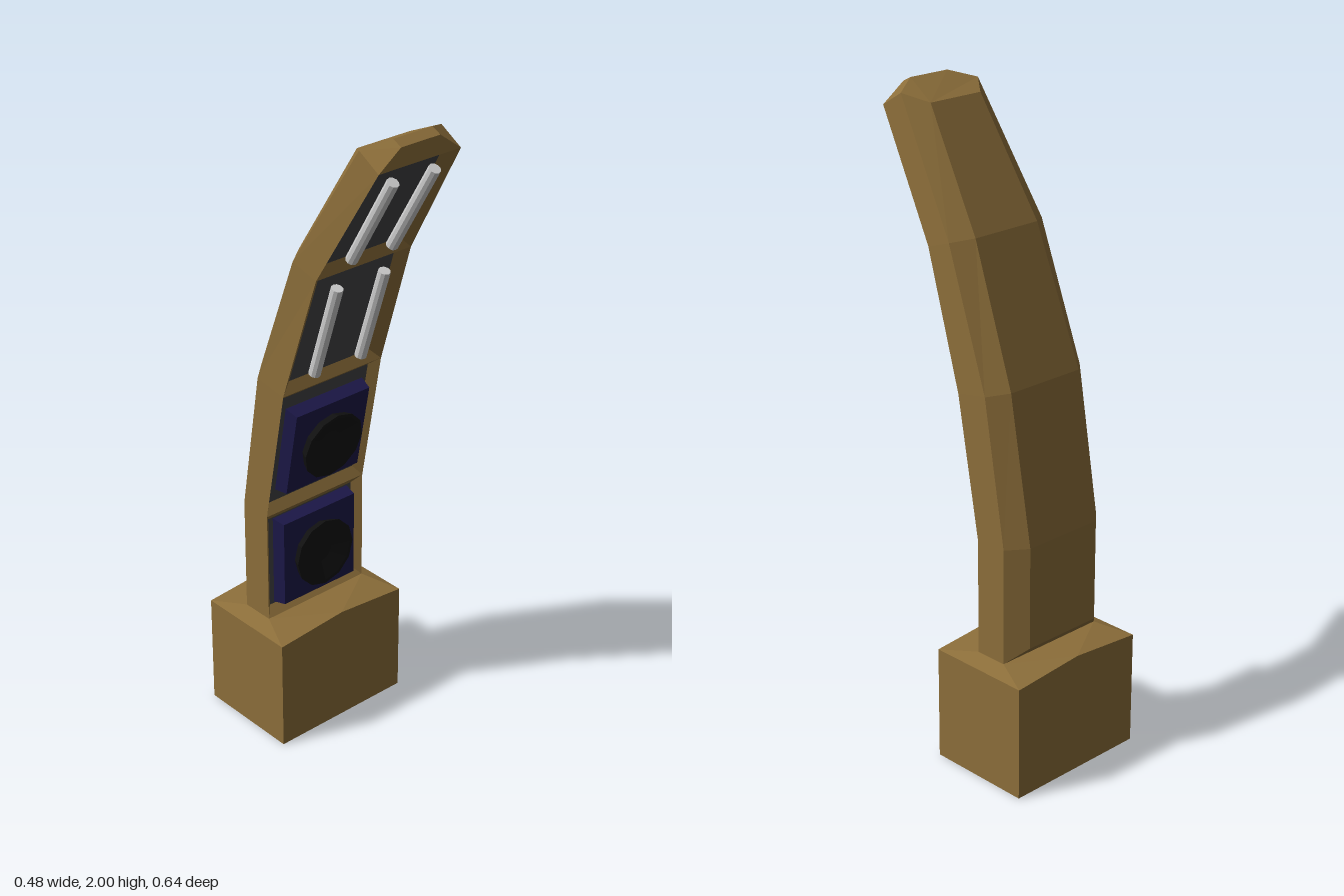
import * as THREE from 'three';

const material = (color) => new THREE.MeshStandardMaterial({ color, flatShading: true });
const wood = material(0x8c6e3a);
const panelGrey = material(0x444446);
const boxBlue = material(0x1c1848);
const coneBlack = material(0x101010);
const rodGrey = material(0xcccccc);

// Flat-shaded mesh from convex polygons (corners counter-clockwise)
function polyMesh(name, mat, polys) {
  const pos = [];
  for (const p of polys) {
    for (let i = 1; i < p.length - 1; i++) pos.push(...p[0], ...p[i], ...p[i + 1]);
  }
  const geo = new THREE.BufferGeometry();
  geo.setAttribute('position', new THREE.Float32BufferAttribute(pos, 3));
  geo.computeVertexNormals();
  const mesh = new THREE.Mesh(geo, mat);
  mesh.name = name;
  return mesh;
}

const flip = ([x, y, z]) => [-x, y, z];
// Each polygon plus its mirror image across x = 0
const bothSides = (polys) => polys.flatMap((p) => [p, p.map(flip).reverse()]);

function makeMesh(name, geo, mat) {
  const mesh = new THREE.Mesh(geo, mat);
  mesh.name = name;
  return mesh;
}

// Column stations, +x corners: front, side rear, back
const stations = [
  { front: [0.19, 0.38, -0.1], side: [0.19, 0.38, -0.205], back: [0.135, 0.43, -0.257] },
  { front: [0.19, 0.74, -0.1], side: [0.19, 0.745, -0.205], back: [0.135, 0.75, -0.257] },
  { front: [0.188, 1.17, -0.02], side: [0.19, 1.19, -0.13], back: [0.135, 1.2, -0.178] },
  { front: [0.176, 1.57, 0.11], side: [0.181, 1.6, 0.02], back: [0.12, 1.61, -0.022] },
  { front: [0.147, 1.93, 0.322], side: [0.147, 1.975, 0.247], back: [0.095, 1.95, 0.182] },
];

// Plinth with a top that falls towards its corners
function createBase() {
  const w = 0.24, f = 0.02, b = -0.32;
  const { front, side } = stations[0];
  const cornerF = [w, 0.36, f], cornerB = [w, 0.36, b];
  const midF = [0, 0.38, f], midB = [0, 0.38, b];
  return polyMesh('base', wood, [
    [[-w, 0, f], [w, 0, f], cornerF, midF, flip(cornerF)],
    [[w, 0, b], [-w, 0, b], flip(cornerB), midB, cornerB],
    [[-w, 0, b], [w, 0, b], [w, 0, f], [-w, 0, f]],
    ...bothSides([
      [[w, 0, f], [w, 0, b], cornerB, cornerF],
      [cornerF, cornerB, side, front],
      [midF, cornerF, front],
      [cornerB, midB, side],
      [midF, front, side, midB],
    ]),
  ]);
}

// Curved column shell with the chamfered tip
function createColumn() {
  const polys = [];
  for (let i = 0; i < 4; i++) {
    const a = stations[i], c = stations[i + 1];
    polys.push(...bothSides([
      [a.front, a.side, c.side, c.front],
      [a.side, a.back, c.back, c.side],
    ]));
    polys.push([a.back, flip(a.back), flip(c.back), c.back]);
  }
  const foot = stations[0], tip = stations[4];
  const topF = [0.07, 1.985, 0.322], topB = [0.07, 2, 0.292];
  polys.push(
    [foot.side, flip(foot.side), flip(foot.back), foot.back],
    [flip(tip.front), tip.front, topF, flip(topF)],
    [flip(topF), topF, topB, flip(topB)],
    [tip.back, flip(tip.back), flip(tip.side), flip(topB), topB, tip.side],
    ...bothSides([[tip.front, tip.side, topB, topF]]),
  );
  return polyMesh('column', wood, polys);
}

// Loudspeaker: tapered square box with a dished round cone
function createSpeaker() {
  const group = new THREE.Group();
  group.name = 'speaker';
  const boxGeo = new THREE.CylinderGeometry(0.14 * Math.SQRT2, 0.148 * Math.SQRT2, 0.045, 4);
  boxGeo.rotateY(Math.PI / 4).rotateX(Math.PI / 2);
  const box = makeMesh('speakerBox', boxGeo, boxBlue);
  box.position.z = -0.005;
  const profile = [[0.098, 0.015], [0.11, 0.045], [0.1, 0.045], [0.04, 0.025], [0, 0.025]];
  const coneGeo = new THREE.LatheGeometry(profile.map((p) => new THREE.Vector2(...p)), 12);
  coneGeo.rotateX(Math.PI / 2);
  group.add(box, makeMesh('speakerCone', coneGeo, coneBlack));
  return group;
}

// Pair of light tubes
function createTubes(x) {
  const group = new THREE.Group();
  group.name = 'lightTubes';
  for (const s of [-1, 1]) {
    const tube = makeMesh('lightTube', new THREE.CylinderGeometry(0.018, 0.018, 0.315, 10), rodGrey);
    tube.position.set(s * x, 0, 0.004);
    group.add(tube);
  }
  return group;
}

// One framed bay between two stations: bevel, recessed panel and its fitting
function createBay(i, inset, fitting) {
  const group = new THREE.Group();
  group.name = 'bay' + (i + 1);
  const low = new THREE.Vector3(...stations[i].front);
  const high = new THREE.Vector3(...stations[i + 1].front);
  const up = new THREE.Vector3(0, high.y - low.y, high.z - low.z).normalize();
  const out = new THREE.Vector3(0, -up.z, up.y);
  const recessed = (v, dir) => {
    const p = v.clone().addScaledVector(up, dir * 0.028).addScaledVector(out, -0.025);
    p.x -= inset;
    return p.toArray();
  };
  const ring = (a, b) => [flip(a), a, b, flip(b)];
  const outer = ring(low.toArray(), high.toArray());
  const inner = ring(recessed(low, 1), recessed(high, -1));
  const bevel = outer.map((p, k) => [p, outer[(k + 1) % 4], inner[(k + 1) % 4], inner[k]]);
  group.add(polyMesh('frame', wood, bevel), polyMesh('panel', panelGrey, [inner]));

  fitting.position.set(0, (low.y + high.y) / 2, (low.z + high.z) / 2);
  fitting.rotation.x = Math.atan2(up.z, up.y);
  group.add(fitting);
  return group;
}

export function createModel() {
  const model = new THREE.Group();
  model.name = 'curvedSpeakerColumn';
  model.add(
    createBase(),
    createColumn(),
    createBay(0, 0.025, createSpeaker()),
    createBay(1, 0.025, createSpeaker()),
    createBay(2, 0.035, createTubes(0.088)),
    createBay(3, 0.038, createTubes(0.075)),
  );
  return model;
}
